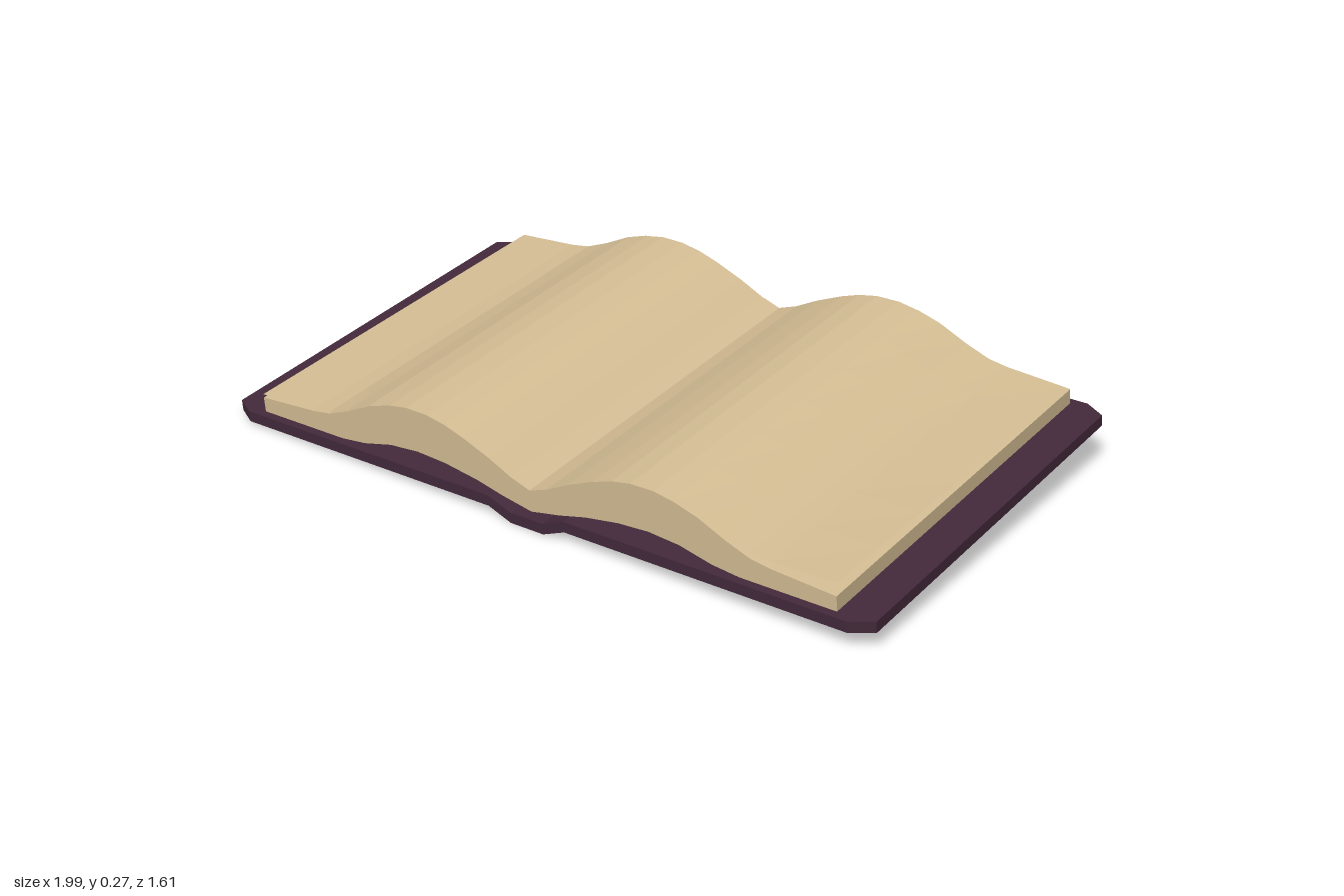
import * as THREE from 'three';

const PAGE_HALF = 0.485;   // half height of the pages along the spine
const COVER_HALF = 0.505;  // half height of the cover along the spine
const BOARD = 0.027;       // cover thickness

const paper = new THREE.MeshStandardMaterial({ color: 0xd6bf95, flatShading: true });
const leafPaper = new THREE.MeshStandardMaterial({ color: 0xd6bf95, flatShading: true, side: THREE.DoubleSide });
const leather = new THREE.MeshStandardMaterial({ color: 0x432a3b, flatShading: true });

// Half of the page outline, from the gutter outwards: [distance, height]
const pageTop = [[0, 0.062], [0.05, 0.08], [0.11, 0.111], [0.18, 0.141], [0.23, 0.158], [0.28, 0.168],
  [0.34, 0.169], [0.39, 0.16], [0.45, 0.141], [0.52, 0.107], [0.58, 0.083], [0.63, 0.075], [0.79, 0.064]];
const pageBottom = [[0.79, 0.027], [0.55, 0.027], [0.48, 0.035], [0.4, 0.055], [0.32, 0.062],
  [0.24, 0.057], [0.15, 0.042], [0.08, 0.024], [0, 0.008]];

function add(parent, name, geometry, material) {
  const mesh = new THREE.Mesh(geometry, material);
  mesh.name = name;
  parent.add(mesh);
  return mesh;
}

// Extrudes an outline along the spine, centred on z = 0
function extrude(points, half) {
  const shape = new THREE.Shape(points.map(([x, y]) => new THREE.Vector2(x, y)));
  return new THREE.ExtrudeGeometry(shape, { depth: half * 2, bevelEnabled: false }).translate(0, 0, -half);
}

// Thin leaf lying on the pages whose outer front corner curls up
function leaf(side, lift) {
  const outer = pageTop.slice(7);
  const rows = 6;
  const geometry = new THREE.PlaneGeometry(1, 1, outer.length - 1, rows);
  const pos = geometry.attributes.position;
  for (let i = 0; i < pos.count; i++) {
    const [x, y] = outer[i % outer.length];
    const t = Math.floor(i / outer.length) / rows; // 0 at the back, 1 at the front
    const k = Math.max(0, (x - 0.39) / 0.4);
    pos.setXYZ(i, side * x, y + 0.001 + lift * k * t, (2 * t - 1) * PAGE_HALF);
  }
  geometry.computeVertexNormals();
  return geometry;
}

export function createModel() {
  const model = new THREE.Group();
  model.name = 'openBook';
  const book = new THREE.Group();
  book.name = 'book';
  model.add(book);

  // Cover boards with clipped outer corners
  const inner = 0.105, edge = 0.877, cx = 0.052, cz = 0.03;
  for (const side of [1, -1]) {
    const outline = [[inner, -COVER_HALF], [edge - cx, -COVER_HALF], [edge, -COVER_HALF + cz],
      [edge, COVER_HALF - cz], [edge - cx, COVER_HALF], [inner, COVER_HALF]];
    const shape = new THREE.Shape(outline.map(([x, z]) => new THREE.Vector2(side * x, z)));
    const board = new THREE.ExtrudeGeometry(shape, { depth: BOARD, bevelEnabled: false });
    board.rotateX(-Math.PI / 2);
    add(book, side > 0 ? 'leftCover' : 'rightCover', board, leather);
  }

  // Sunken spine joining the boards
  add(book, 'spine', extrude([[-inner, 0], [-0.045, -0.025], [0.045, -0.025], [inner, 0],
    [inner, BOARD], [0.045, 0.002], [-0.045, 0.002], [-inner, BOARD]], COVER_HALF), leather);

  // Page blocks, arched on both sides of the gutter
  for (const side of [1, -1]) {
    const outline = [...pageTop, ...pageBottom].map(([x, y]) => [side * x, y]);
    add(book, side > 0 ? 'leftPages' : 'rightPages', extrude(outline, PAGE_HALF), paper);
  }

  // Loose top leaves
  add(book, 'leftLooseLeaf', leaf(1, 0.03), leafPaper);
  add(book, 'rightLooseLeaf', leaf(-1, 0.008), leafPaper);

  // The book lies turned and slightly tilted
  book.rotation.set(0.064, THREE.MathUtils.degToRad(-25), 0.0235, 'YXZ');
  book.position.y = 0.0585;
  return model;
}
